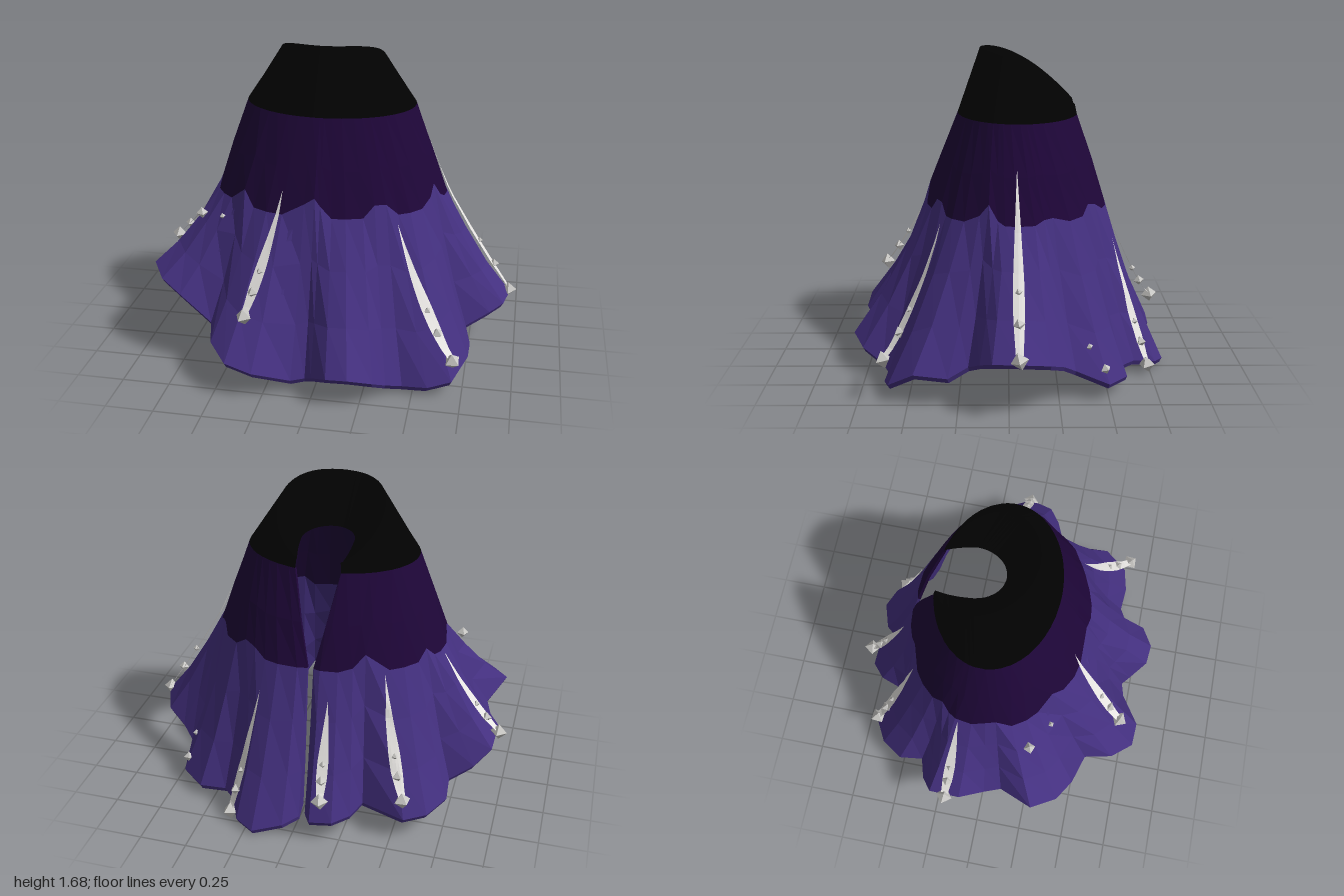
import * as THREE from 'three';

const CX = -0.035, CZ = -0.05;
const V = (x, y, z) => new THREE.Vector3(x, y, z);

// Scalloped hem, from one side of the back slit round the front to the other;
// the first and last points are the slit edges, tucked inwards
const HEM = [
  -.02, .1, -.61, -.018, .05, -.70, .05, .04, -.78, .2, .01, -.83, .3, .03, -.78, .36, .06, -.66,
  .43, .06, -.59, .57, .06, -.6, .7, .07, -.5, .72, .15, -.33, .79, .2, -.27, .9, .25, -.2,
  .96, .28, -.05, .93, .27, .08, .86, .24, .14, .74, .18, .2, .77, .13, .3, .77, .15, .47,
  .7, .07, .6, .58, .04, .63, .45, .03, .62, .37, .05, .66, .32, .12, .77, .2, .16, .83,
  .09, .15, .82, 0, .1, .74, -.04, .07, .70, -.11, .06, .72, -.29, .14, .82, -.43, .18, .81,
  -.53, .23, .7, -.57, .26, .55, -.75, .38, .5, -.87, .43, .43, -.95, .46, .3, -.87, .4, .12,
  -.9, .38, .03, -.96, .4, -.1, -.95, .36, -.27, -.87, .28, -.33, -.75, .2, -.37, -.76, .17, -.5,
  -.68, .14, -.62, -.57, .13, -.68, -.34, .14, -.61, -.3, .13, -.72, -.22, .12, -.79, -.1, .1, -.79,
  -.052, .08, -.70, -.05, .12, -.61,
];

// Joins rows of points, listed top to bottom, into a flat-shaded sheet
function loft(rows) {
  const pos = [], idx = [], n = rows[0].length;
  rows.forEach(r => r.forEach(p => pos.push(p.x, p.y, p.z)));
  for (let j = 0; j < rows.length - 1; j++) {
    for (let i = 0; i < n - 1; i++) {
      const a = j * n + i, c = a + n;
      idx.push(a, a + 1, c, a + 1, c + 1, c);
    }
  }
  const g = new THREE.BufferGeometry();
  g.setAttribute('position', new THREE.Float32BufferAttribute(pos, 3));
  g.setIndex(idx);
  const flat = g.toNonIndexed();
  flat.computeVertexNormals();
  return flat;
}

export function createModel() {
  const group = new THREE.Group();
  const mat = (name, color) => new THREE.MeshStandardMaterial({
    name, color, flatShading: true, side: THREE.DoubleSide });
  const black = mat('black', 0x020202);
  const darkPurple = mat('dark purple', 0x1e0638);
  const purple = mat('purple', 0x443080);
  const silver = mat('pale silver', 0xebe9e6);
  const gem = mat('grey crystal', 0xc8c7c4);
  const add = (name, geo, material) => {
    const m = new THREE.Mesh(geo, material);
    m.name = name;
    group.add(m);
    return m;
  };

  // One column of cloth for every hem point
  const hem = [];
  for (let i = 0; i < HEM.length; i += 3) hem.push(V(HEM[i], HEM[i + 1], HEM[i + 2]));
  const angle = hem.map(p => Math.atan2(p.x - CX, p.z - CZ));
  const radius = hem.map(p => Math.hypot(p.x - CX, p.z - CZ));
  // How deep each column sits in a valley between pleats
  const valley = radius.map((r, i) => i < 3 || i > radius.length - 4 ? 0
    : Math.max(0, (radius[i - 3] + radius[i + 3]) / 2 - r));

  // Elliptical ring; gap is the angle left open at the slit, pleat the fold depth
  const ring = (y, rx, rz, cz, gap, pleat) => hem.map((p, i) => {
    const a = angle[i] * (1 - gap / Math.PI);
    const f = 1 + pleat * (radius[i] / 0.84 - 1);
    return V(CX + Math.sin(a) * rx * f, y + 2.2 * pleat * valley[i], cz + Math.cos(a) * rz * f);
  });
  const neck = hem.map((p, i) => {
    const a = angle[i], b = Math.abs(a);
    if (b < Math.PI / 2) return V(CX + 0.135 * Math.sin(a), 1.44, -0.18 + 0.17 * Math.cos(a));
    const t = b / (Math.PI / 2) - 1;
    return V(CX + (0.135 - 0.025 * t * t) * Math.sign(a), 1.44 - 0.05 * t, -0.18 - 0.17 * t);
  });
  const ridge = ring(0, 0.275, 0.26, -0.11, 0.4, 0);
  ridge.forEach(p => { p.y = 1.69 - 0.27 * Math.pow(Math.max(0, 0.15 - p.z) / 0.48, 1.7); });
  const r135 = ring(1.35, 0.45, 0.32, CZ, 0.24, 0);
  const r110 = ring(1.1, 0.535, 0.41, CZ, 0.1, 0.1);
  const r88 = ring(0.875, 0.6, 0.485, CZ, 0, 0.25);
  const between = t => hem.map((p, i) => {
    const q = r88[i], s = t * (0.83 + 0.17 * t);
    return V(q.x + (p.x - q.x) * s, q.y + (p.y - q.y) * t, q.z + (p.z - q.z) * s);
  });
  const m1 = between(0.33), m2 = between(0.67);
  // Lining rows sit slightly inside and meet the outer cloth at the slit
  const inset = (row, scale = 0.965) => row.map((p, i) => {
    const k = i === 0 || i === row.length - 1 ? 1 : scale;
    return V(CX + (p.x - CX) * k, p.y, CZ + (p.z - CZ) * k);
  });
  const lining = rows => loft(rows.map(r => inset(r)));
  const hemTop = hem.map(p => V(p.x, p.y + 0.025, p.z));
  const hemLip = inset(hem, 0.985);

  add('collar', loft([neck, ridge, r135]), black);
  const band = add('upperBand', loft([r135, r110, r88]), darkPurple);
  add('upperBandLining', lining([r88, r110, r135]), darkPurple);
  const skirt = add('pleatedSkirt', loft([r88, m1, m2, hemTop]), purple);
  add('hemEdge', loft([hemTop, hemLip, inset(hemTop)]), purple);
  add('skirtLining', lining([hemTop, m2, m1, r88]), purple);

  // Tapering silver streaks that lift off the cloth towards their crystals
  const caster = new THREE.Raycaster();
  group.updateMatrixWorld(true);
  const onCloth = (low, high, t, side) => {
    const start = low.clone().lerp(high, t);
    const out = V(start.x - CX, 0, start.z - CZ).normalize();
    start.addScaledVector(V(out.z, 0, -out.x), side);
    caster.set(start.clone().addScaledVector(out, 0.5), out.clone().negate());
    const hit = caster.intersectObjects([band, skirt], false)[0];
    const rise = hit ? 0.5 - hit.distance : 0;
    const shift = rise > 0 ? Math.min(rise, 0.15) : Math.max(rise, -0.15) * Math.sqrt(t);
    return start.addScaledVector(out, shift + 0.008);
  };
  const crystal = (p, r) => {
    const m = add('crystal', new THREE.OctahedronGeometry(r), gem);
    m.position.copy(p);
    m.rotation.set(0.15, Math.atan2(p.x - CX, p.z - CZ), 0.12);
  };
  const streaks = [
    [V(-.35, .42, .70), V(-.21, 1.0, .39)],
    [V(.70, .23, .62), V(.40, .84, .37)],
    [V(.95, .32, -.05), V(.52, 1.15, -.04)],
    [V(.35, .06, -.73), V(.22, .72, -.53)],
    [V(-.16, .28, -.80), V(-.15, .74, -.60)],
    [V(-.56, .27, -.67), V(-.42, .86, -.46)],
    [V(-.97, .44, -.18), V(-.64, .87, -.15)],
  ];
  for (const [low, high] of streaks) {
    const rows = [], steps = 14;
    for (let k = 0; k <= steps; k++) {
      const t = 1 - k / steps;
      const w = 0.028 * Math.min(1, (1 - t) * 1.6) * Math.min(1, 0.6 + t * 2);
      rows.push([-1, -0.5, 0, 0.5, 1].map(s => onCloth(low, high, t, s * w)));
    }
    add('silverStreak', loft(rows), silver);
    crystal(low, 0.045);
    [[0.18, 0.03], [0.34, 0.019]].forEach(([t, r]) => crystal(onCloth(low, high, t, 0), r));
  }

  // Loose crystals
  crystal(V(-.69, .77, .24), 0.032);
  crystal(V(-.55, .80, .33), 0.016);
  crystal(V(.68, .17, -.48), 0.028);
  crystal(V(.66, .28, -.40), 0.018);

  return group;
}
